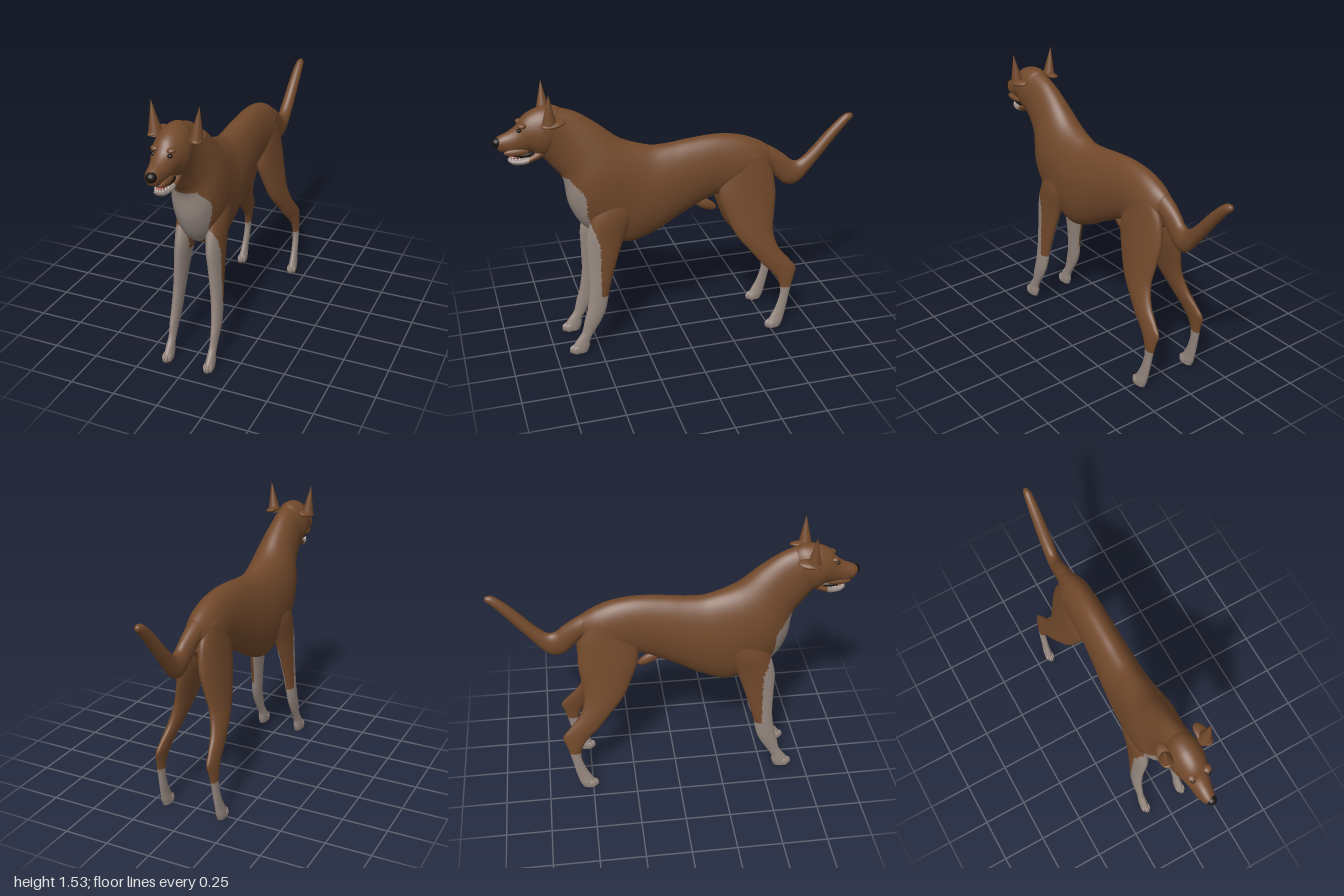
import * as THREE from 'three';

const flat = (name, hex) => {
  const m = new THREE.MeshStandardMaterial({ color: hex });
  m.name = name;
  return m;
};

// Smooth interpolation through the rows of a section table
function sampleSections(rows, t) {
  const f = t * (rows.length - 1), i = Math.min(Math.floor(f), rows.length - 2), u = f - i;
  const at = k => rows[Math.max(0, Math.min(rows.length - 1, k))];
  const [a, b, c, d] = [at(i - 1), at(i), at(i + 1), at(i + 2)];
  return b.map((p, k) => p + 0.5 * u * (c[k] - a[k] + u * (2 * a[k] - 5 * p + 4 * c[k] - d[k]
    + u * (3 * (p - c[k]) + d[k] - a[k]))));
}

// Skin over oval sections [z1, y1, z2, y2, halfWidth, xCentre]; isPale picks the second material
function loft(rows, steps, sides, isPale = () => false) {
  const pos = [], base = [], pale = [];
  const add = (x, y, z) => pos.push(x, y, z) / 3 - 1;
  for (let i = 0; i <= steps; i++) {
    const [z1, y1, z2, y2, w, xc] = sampleSections(rows, i / steps);
    for (let j = 0; j < sides; j++) {
      const a = j / sides * Math.PI * 2, c = Math.cos(a) / 2;
      add(xc + Math.sin(a) * w, (y1 + y2) / 2 + c * (y1 - y2), (z1 + z2) / 2 + c * (z1 - z2));
    }
  }
  const tri = (...ids) => {
    const m = k => ids.reduce((s, id) => s + pos[id * 3 + k], 0) / 3;
    (isPale(m(0), m(1), m(2)) ? pale : base).push(...ids);
  };
  for (let i = 0; i < steps; i++) for (let j = 0; j < sides; j++) {
    const k = (j + 1) % sides, p = i * sides, q = p + sides;
    tri(p + j, p + k, q + j);
    tri(p + k, q + k, q + j);
  }
  // End caps
  for (const [i, row] of [[0, rows[0]], [steps, rows[rows.length - 1]]]) {
    const c = add(row[5], (row[1] + row[3]) / 2, (row[0] + row[2]) / 2);
    for (let j = 0; j < sides; j++) {
      const a = i * sides + j, b = i * sides + (j + 1) % sides;
      i ? tri(c, a, b) : tri(c, b, a);
    }
  }
  const g = new THREE.BufferGeometry();
  g.setAttribute('position', new THREE.Float32BufferAttribute(pos, 3));
  g.setIndex([...base, ...pale]);
  g.addGroup(0, base.length, 0);
  g.addGroup(base.length, pale.length, 1);
  g.computeVertexNormals();
  return g;
}

// Rear edge of the pale bib and leg front, as z for a height
function bibEdge(y) {
  const p = [[0.3, 0.485], [0.66, 0.48], [0.82, 0.535], [0.95, 0.545], [1.04, 0.62]];
  for (let i = 1; i < p.length; i++) if (y < p[i][0]) {
    return THREE.MathUtils.mapLinear(y, p[i - 1][0], p[i][0], p[i - 1][1], p[i][1]);
  }
  return 9;
}

export function createModel() {
  const model = new THREE.Group();
  const brown = flat('brownCoat', 0x72492b), pale = flat('paleCoat', 0x95877f);
  const black = flat('blackNose', 0x17120f), pink = flat('pinkTongue', 0xa8605c);
  const white = flat('whiteTeeth', 0xd2cbc0), claw = flat('darkClaw', 0x2b2320);
  const coat = [brown, pale];
  const put = (name, geo, mat, parent = model) => {
    const m = new THREE.Mesh(geo, mat);
    m.name = name;
    parent.add(m);
    return m;
  };
  const blob = (name, mat, p, r, parent) => {
    const m = put(name, new THREE.SphereGeometry(1, 20, 14), mat, parent);
    m.position.set(...p);
    m.scale.set(...r);
    return m;
  };

  // Neck, ribcage, waist and rump
  put('torso', loft([
    [0.66, 1.422, 0.755, 1.17, 0.078, 0.005], [0.56, 1.385, 0.70, 1.10, 0.083, 0],
    [0.45, 1.31, 0.645, 1.02, 0.10, 0], [0.36, 1.235, 0.62, 0.87, 0.125, 0],
    [0.30, 1.20, 0.55, 0.74, 0.132, 0], [0.23, 1.175, 0.42, 0.65, 0.125, 0],
    [0.15, 1.155, 0.29, 0.605, 0.118, 0], [0.05, 1.158, 0.14, 0.655, 0.11, 0],
    [-0.05, 1.17, 0, 0.735, 0.10, 0], [-0.2, 1.18, -0.18, 0.82, 0.09, 0],
    [-0.33, 1.165, -0.33, 0.83, 0.088, 0], [-0.43, 1.13, -0.43, 0.85, 0.078, 0],
    [-0.5, 1.09, -0.5, 0.92, 0.05, 0]], 150, 72,
  (x, y, z) => z > bibEdge(y)), coat);

  // Skull and muzzle
  const head = new THREE.Group();
  head.name = 'head';
  head.position.x = 0.006;
  model.add(head);
  put('skullAndMuzzle', loft([
    [0.985, 1.28, 0.975, 1.235, 0.02, 0], [0.955, 1.296, 0.96, 1.212, 0.035, 0],
    [0.91, 1.315, 0.915, 1.197, 0.045, 0], [0.87, 1.342, 0.86, 1.20, 0.056, 0],
    [0.835, 1.387, 0.80, 1.195, 0.072, 0], [0.79, 1.415, 0.765, 1.17, 0.084, 0],
    [0.73, 1.432, 0.745, 1.165, 0.09, 0], [0.66, 1.427, 0.73, 1.16, 0.083, 0],
    [0.60, 1.38, 0.69, 1.18, 0.06, 0]], 60, 40), coat);
  blob('nose', black, [0, 1.262, 0.973], [0.027, 0.026, 0.027], head);

  // Open mouth
  put('lowerJaw', loft([
    [0.925, 1.165, 0.92, 1.15, 0.014, 0], [0.905, 1.168, 0.89, 1.132, 0.03, 0],
    [0.85, 1.172, 0.835, 1.132, 0.042, 0], [0.80, 1.195, 0.78, 1.15, 0.048, 0],
    [0.75, 1.23, 0.73, 1.17, 0.05, 0]], 30, 28, (x, y, z) => z > 0.82), coat, head);
  blob('mouthInside', black, [0, 1.19, 0.835], [0.042, 0.02, 0.075], head);
  blob('tongue', pink, [0, 1.176, 0.873], [0.025, 0.011, 0.045], head);
  for (let i = -4; i <= 4; i++) {
    const a = i / 4 * 1.4, big = Math.abs(i) === 2 ? 1.6 : 1;
    for (const up of [1, -1]) {
      const t = put(up > 0 ? 'lowerTooth' : 'upperTooth', new THREE.ConeGeometry(0.005, 0.013 * big, 6), white, head);
      t.position.set(Math.sin(a) * 0.031, up > 0 ? 1.175 : 1.195, 0.855 + Math.cos(a) * 0.06);
      if (up < 0) t.rotation.x = Math.PI;
    }
  }

  // Upright ears with a folded flap at the root, eyes, brows and lips
  for (const s of [1, -1]) {
    const shape = new THREE.ConeGeometry(1, 1, 20, 6);
    shape.translate(0, 0.5, 0);
    shape.scale(0.036, 0.175, 0.04);
    const p = shape.attributes.position;
    for (let i = 0; i < p.count; i++) p.setX(i, p.getX(i) + s * 0.02 * p.getY(i) / 0.175);
    shape.computeVertexNormals();
    put('ear', shape, brown, head).position.set(s * 0.106, 1.36, 0.715);
    const flap = blob('earFlap', brown, [s * 0.108, 1.372, 0.695], [0.036, 0.016, 0.066], head);
    flap.rotation.set(0.1, s * 0.15, -s * 0.25);
    blob('eye', black, [s * 0.042, 1.33, 0.862], [0.013, 0.01, 0.012], head);
    blob('brow', brown, [s * 0.042, 1.352, 0.845], [0.022, 0.014, 0.024], head);
    blob('lip', brown, [s * 0.032, 1.21, 0.88], [0.016, 0.02, 0.065], head);
  }

  // Tail
  put('tail', loft([
    [-0.41, 1.135, -0.45, 0.98, 0.05, 0], [-0.53, 1.072, -0.51, 0.95, 0.045, 0],
    [-0.605, 1.02, -0.56, 0.89, 0.04, 0.005], [-0.65, 0.982, -0.62, 0.84, 0.037, 0.01],
    [-0.695, 0.98, -0.695, 0.85, 0.035, 0.012], [-0.76, 1.035, -0.795, 0.965, 0.034, 0.015],
    [-0.86, 1.145, -0.895, 1.09, 0.03, 0.018], [-0.945, 1.222, -0.965, 1.172, 0.024, 0.02],
    [-0.985, 1.232, -0.994, 1.2, 0.015, 0.02], [-0.999, 1.222, -1, 1.215, 0.004, 0.02]], 60, 28), coat);

  // Belly sheath
  blob('bellySheath', brown, [0, 0.775, -0.14], [0.022, 0.03, 0.08]).rotation.x = -0.5;

  // Leg rows: [zBack, zFront, y, halfWidth, xCentre]
  const legRows = (rows, s) => rows.map(([zb, zf, y, w, x]) => [zb, y, zf, y, w, x * s]);
  const front = [
    [0.26, 0.44, 0.98, 0.035, 0.07], [0.285, 0.51, 0.82, 0.048, 0.083],
    [0.34, 0.55, 0.68, 0.042, 0.088], [0.385, 0.55, 0.55, 0.034, 0.098],
    [0.43, 0.548, 0.40, 0.029, 0.109], [0.458, 0.565, 0.27, 0.025, 0.118],
    [0.487, 0.585, 0.20, 0.022, 0.121], [0.53, 0.602, 0.13, 0.019, 0.121],
    [0.557, 0.635, 0.08, 0.021, 0.121], [0.562, 0.66, 0.04, 0.024, 0.121], [0.575, 0.66, 0.006, 0.022, 0.121]];
  const hind = [
    [-0.46, -0.28, 1.06, 0.036, 0.042], [-0.52, -0.225, 0.95, 0.046, 0.048],
    [-0.54, -0.21, 0.83, 0.05, 0.06], [-0.53, -0.245, 0.72, 0.045, 0.08],
    [-0.518, -0.3, 0.60, 0.038, 0.105], [-0.55, -0.38, 0.50, 0.032, 0.127],
    [-0.615, -0.445, 0.42, 0.025, 0.143], [-0.65, -0.495, 0.37, 0.022, 0.15],
    [-0.635, -0.54, 0.31, 0.02, 0.157], [-0.615, -0.558, 0.23, 0.018, 0.161],
    [-0.598, -0.535, 0.14, 0.018, 0.164], [-0.585, -0.505, 0.08, 0.02, 0.166],
    [-0.575, -0.485, 0.04, 0.024, 0.167], [-0.56, -0.485, 0.006, 0.022, 0.167]];

  // Toes and claws in front of a foot
  const paw = (name, x, z) => {
    const g = new THREE.Group();
    g.name = name;
    g.position.set(x, 0, z);
    model.add(g);
    for (let i = 0; i < 4; i++) {
      const dx = (i - 1.5) * 0.012, dz = i % 3 ? 0.008 : -0.006;
      blob('toe', pale, [dx, 0.026, dz], [0.009, 0.025, 0.026], g);
      const c = put('claw', new THREE.ConeGeometry(0.006, 0.028, 8), claw, g);
      c.position.set(dx, 0.012, dz + 0.02);
      c.rotation.x = 1.9;
    }
    blob('pad', claw, [0, 0.006, -0.02], [0.02, 0.006, 0.04], g);
  };

  for (const s of [1, -1]) {
    const side = s > 0 ? 'left' : 'right';
    put(side + 'FrontLeg', loft(legRows(front, s), 100, 40, (x, y, z) =>
      y < 0.34 || z > bibEdge(y) || (y < 0.62 && x * s < 0.085 + (0.65 - y) * 0.08)), coat);
    put(side + 'HindLeg', loft(legRows(hind, s), 100, 40, (x, y) => y < 0.26), coat);
    paw(side + 'FrontPaw', s * 0.121, 0.642);
    paw(side + 'HindPaw', s * 0.167, -0.502);
  }
  return model;
}
